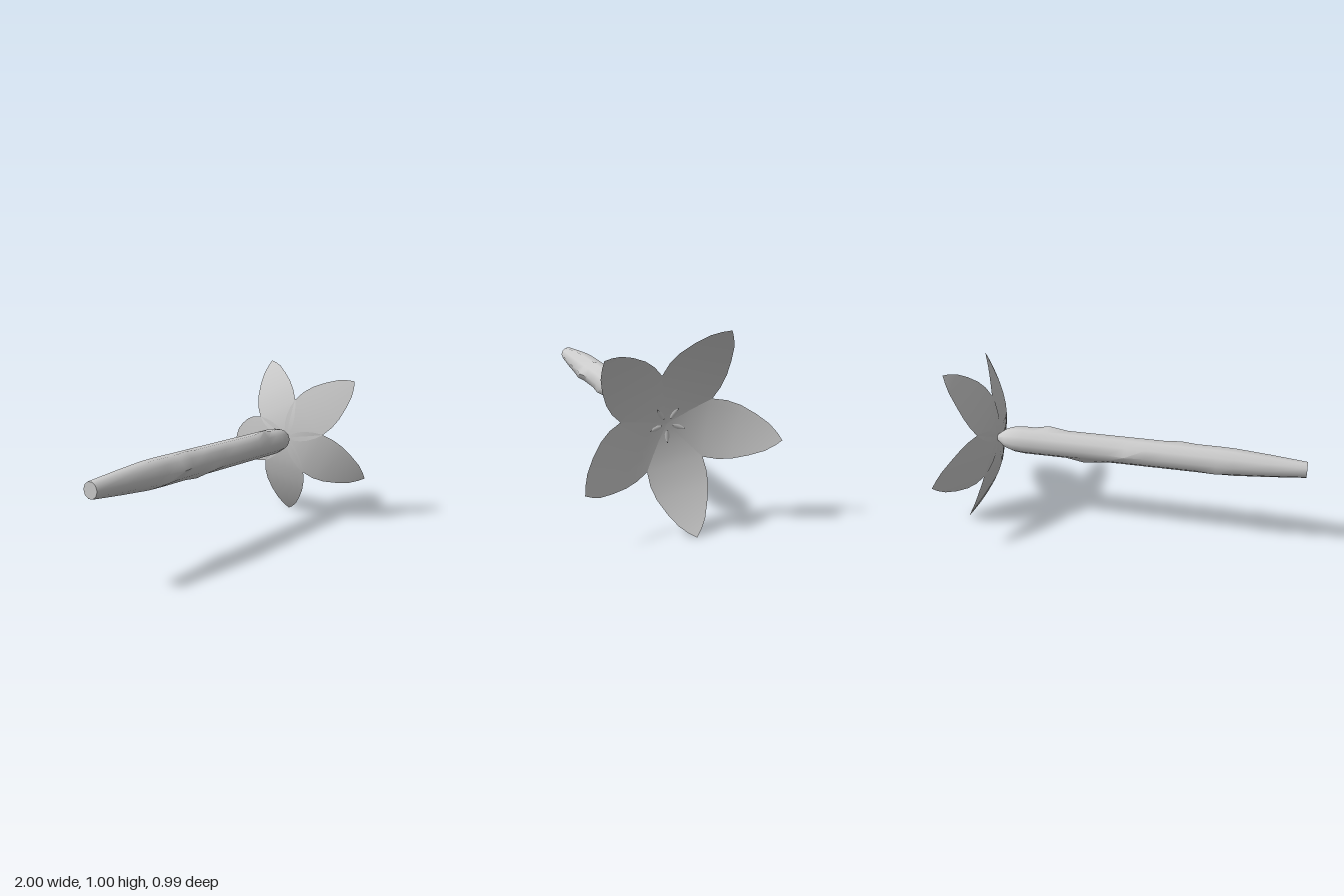
import * as THREE from 'three';
import { toCreasedNormals } from 'three/addons/utils/BufferGeometryUtils.js';

const CY = 0.526, CZ = 0.022; // stem axis
const SIDES = 10;

// Pointed sheet growing along +z; rows are [distance, halfWidth], depth gives x
function leafGeometry(rows, depth, cols = 8) {
  const pos = [], idx = [];
  rows.forEach(([a, w], i) => {
    for (let j = 0; j <= cols; j++) {
      const y = w * (j / cols * 2 - 1);
      pos.push(depth(a, y), y, a);
      if (i && j) {
        const p = i * (cols + 1) + j, q = p - cols - 1;
        idx.push(q - 1, p - 1, p, q - 1, p, q);
      }
    }
  });
  const g = new THREE.BufferGeometry();
  g.setAttribute('position', new THREE.Float32BufferAttribute(pos, 3));
  g.setIndex(idx);
  g.computeVertexNormals();
  return g;
}

// Ten-sided stem, tapered at both ends, with single corners pushed out as low buds
function stemGeometry() {
  const profile = [[0, -1], [0.045, -1], [0.063, -0.8], [0.078, -0.6]];
  for (const x of [-0.5, -0.38, -0.29, -0.2, -0.1, 0.02, 0.13, 0.27, 0.38, 0.49, 0.58, 0.64]) {
    profile.push([0.08, x]);
  }
  profile.push([0.074, 0.7], [0.058, 0.75], [0.02, 0.803]);
  const g = new THREE.LatheGeometry(profile.map(p => new THREE.Vector2(...p)), SIDES);
  const p = g.attributes.position;
  // [position along the stem, corner number, height]
  const buds = [[-0.38, 0, 0.018], [0.02, 5, 0.012], [0.49, 8, 0.016], [0.27, 3, 0.017],
    [-0.29, 8, 0.007], [-0.2, 2, 0.008], [-0.5, 1, 0.009], [-0.1, 1, 0.009],
    [0.13, 0, 0.006], [-0.5, 4, 0.008], [-0.1, 9, 0.006]];
  for (const [x, corner, h] of buds) {
    for (let i = 0; i < p.count; i++) {
      const side = Math.floor(i / profile.length) % SIDES;
      if (side !== corner || Math.abs(p.getY(i) - x) > 0.001) continue;
      const s = 1 + h / 0.08;
      p.setX(i, p.getX(i) * s);
      p.setZ(i, p.getZ(i) * s);
    }
  }
  g.rotateZ(-Math.PI / 2);
  return toCreasedNormals(g, 0.9);
}

export function createModel() {
  const model = new THREE.Group();
  const grey = new THREE.MeshStandardMaterial({ color: 0xcccccc, side: THREE.DoubleSide });
  grey.name = 'light grey';
  const body = new THREE.Group();
  body.position.set(0, CY, CZ);
  model.add(body);
  const add = (name, geometry) => {
    const m = new THREE.Mesh(geometry, grey);
    m.name = name;
    body.add(m);
    return m;
  };

  add('stem', stemGeometry());

  // Five gently cupped petals whose broad bases cross behind their neighbours
  const petal = leafGeometry([[0, 0], [0.03, 0.05], [0.06, 0.08], [0.1, 0.108], [0.15, 0.132],
    [0.2, 0.147], [0.27, 0.149], [0.335, 0.136], [0.407, 0.105], [0.468, 0.069],
    [0.505, 0.033], [0.53, 0]],
  (a, y) => 0.805 + 0.195 * Math.pow(Math.hypot(a, 0.6 * y) / 0.53, 2));
  // Five tiny pointed leaflets around the flower's centre
  const leaflet = leafGeometry([[0.03, 0.006], [0.05, 0.012], [0.07, 0.011], [0.098, 0]],
    (a, y) => 0.809 + 0.1 * a - 30 * y * y, 4);
  for (let i = 0; i < 5; i++) {
    add('petal', petal).rotation.x = -(44.6 + 72 * i) * Math.PI / 180;
    add('leaflet', leaflet).rotation.x = -(-90 + 72 * i) * Math.PI / 180;
  }
  return model;
}
